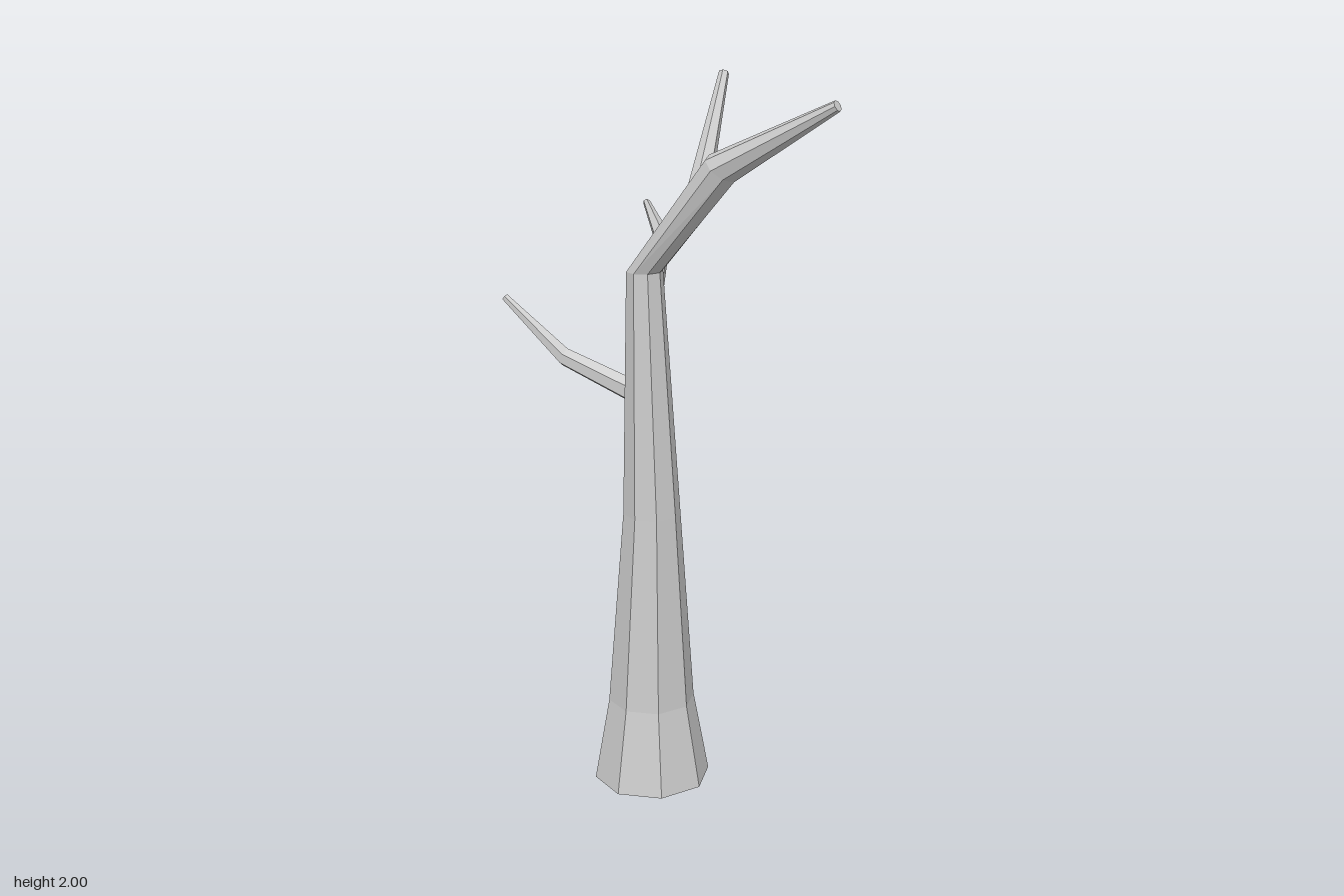
import * as THREE from 'three';

const material = new THREE.MeshStandardMaterial({ color: 0xcccccc, flatShading: true, side: THREE.DoubleSide });

// Tapered faceted limb. stations: [x, y, z, radius]; each ring faces along the segment
// leading into it. Open at the root, capped at the tip.
function limb(name, stations, sides, ref) {
  const centres = stations.map(([x, y, z]) => new THREE.Vector3(x, y, z));
  const positions = [], index = [];
  stations.forEach((s, i) => {
    const k = Math.max(i, 1);
    const dir = centres[k].clone().sub(centres[k - 1]).normalize();
    const u = ref.clone().addScaledVector(dir, -ref.dot(dir)).normalize();
    const w = dir.clone().cross(u);
    for (let j = 0; j < sides; j++) {
      const a = (j / sides) * Math.PI * 2;
      const p = centres[i].clone()
        .addScaledVector(u, Math.cos(a) * s[3])
        .addScaledVector(w, Math.sin(a) * s[3]);
      positions.push(p.x, p.y, p.z);
    }
  });
  for (let i = 0; i < stations.length - 1; i++) {
    for (let j = 0; j < sides; j++) {
      const a = i * sides + j, b = i * sides + (j + 1) % sides;
      index.push(a, b, b + sides, a, b + sides, a + sides);
    }
  }
  // tip cap
  const last = (stations.length - 1) * sides;
  for (let j = 1; j < sides - 1; j++) index.push(last, last + j, last + j + 1);

  const geometry = new THREE.BufferGeometry();
  geometry.setAttribute('position', new THREE.Float32BufferAttribute(positions, 3));
  geometry.setIndex(index);
  geometry.computeVertexNormals();
  const mesh = new THREE.Mesh(geometry, material);
  mesh.name = name;
  return mesh;
}

export function createModel() {
  const group = new THREE.Group();
  group.name = 'bareTree';
  const up = new THREE.Vector3(0, 1, 0);
  const front = new THREE.Vector3(0, 0, 1);

  // Trunk flares at the foot, then bends over into the main limb
  group.add(limb('trunk', [
    [-0.072, 0, 0.186, 0.165],
    [-0.072, 0.24, 0.186, 0.122],
    [-0.063, 0.8, 0.188, 0.08],
    [-0.078, 1.48, 0.19, 0.05],
    [0.168, 1.775, 0.19, 0.05],
    [0.502, 1.955, 0.182, 0.015],
  ], 8, front));

  // Side branches start inside the trunk
  group.add(limb('lowerBranch', [
    [-0.08, 1.13, 0.19, 0.034],
    [-0.32, 1.218, 0.236, 0.026],
    [-0.5, 1.37, 0.27, 0.011],
  ], 6, up));
  group.add(limb('rearBranch', [
    [-0.08, 1.345, 0.185, 0.04],
    [-0.225, 1.512, -0.095, 0.026],
    [-0.46, 1.55, -0.345, 0.011],
  ], 6, up));
  group.add(limb('upperBranch', [
    [0.092, 1.71, 0.18, 0.032],
    [0.02, 1.988, -0.042, 0.014],
  ], 6, up));

  return group;
}
